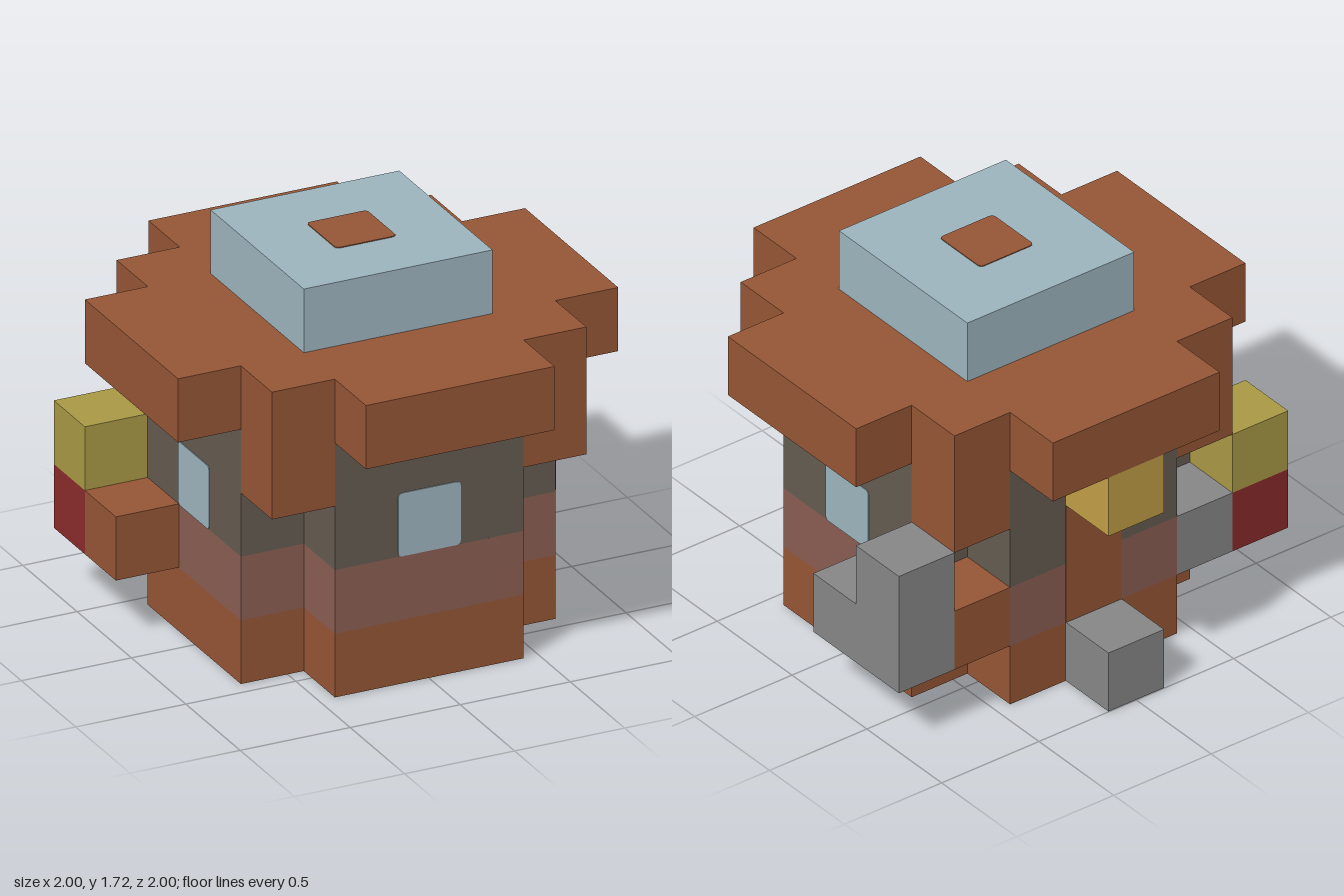
import * as THREE from 'three';

const U = 2 / 7; // size of one block

const material = (name, color) => {
  const m = new THREE.MeshStandardMaterial({ color });
  m.name = name;
  return m;
};

export function createModel() {
  const group = new THREE.Group();
  const brown = material('brown', 0x955535);
  const paleBlue = material('pale blue', 0x9db4be);
  const darkGrey = material('dark grey', 0x645b50);
  const mauve = material('mauve', 0x8a5d52);
  const grey = material('grey', 0x868686);
  const olive = material('olive', 0xa89845);
  const gold = material('gold', 0xc09d45);
  const red = material('red', 0x8a2a2a);

  const add = (name, geometry, mat) => {
    const mesh = new THREE.Mesh(geometry, mat);
    mesh.name = name;
    group.add(mesh);
    return mesh;
  };

  // Box centred on block cell (x, z), resting on layer y
  const block = (name, x, y, z, mat, w = 1, h = 1, d = 1) =>
    add(name, new THREE.BoxGeometry(w * U, h * U, d * U), mat)
      .position.set(x * U, (y + h / 2) * U, z * U);

  // Stepped slab: a quarter outline turned four times and extruded upwards
  const slab = (name, quarter, y, h, mat) => {
    const points = [];
    for (let i = 0; i < 4; i++) {
      for (const [x, z] of quarter) {
        const p = new THREE.Vector2(x * U, z * U);
        for (let k = 0; k < i; k++) p.set(-p.y, p.x);
        points.push(p);
      }
    }
    const geometry = new THREE.ExtrudeGeometry(new THREE.Shape(points), { depth: h * U, bevelEnabled: false });
    geometry.rotateX(-Math.PI / 2);
    add(name, geometry, mat).position.y = y * U;
  };

  // Thin square plate with softened corners, facing +z
  const panel = (name, size, mat) => {
    const s = size / 2, r = 0.02;
    const shape = new THREE.Shape();
    shape.moveTo(-s + r, -s);
    shape.lineTo(s - r, -s);
    shape.quadraticCurveTo(s, -s, s, -s + r);
    shape.lineTo(s, s - r);
    shape.quadraticCurveTo(s, s, s - r, s);
    shape.lineTo(-s + r, s);
    shape.quadraticCurveTo(-s, s, -s, s - r);
    shape.lineTo(-s, -s + r);
    shape.quadraticCurveTo(-s, -s, -s + r, -s);
    const geometry = new THREE.ExtrudeGeometry(shape, { depth: 0.004, bevelEnabled: false, curveSegments: 3 });
    return add(name, geometry, mat);
  };

  // Body layers
  const bodyStep = [[2.5, 1.5], [1.5, 1.5], [1.5, 2.5]];
  slab('base', bodyStep, 0, 1, brown);
  slab('lowerWall', bodyStep, 1, 1, mauve);
  slab('upperWall', bodyStep, 2, 2, darkGrey);

  // Roof and skylight block
  slab('roof', [[3.5, 1.5], [2.5, 1.5], [2.5, 2.5], [1.5, 2.5], [1.5, 3.5]], 4, 1, brown);
  block('roofTop', 0, 5, 0, paleBlue, 3, 1, 3);
  for (const x of [-2, 2]) {
    for (const z of [-2, 2]) block('eaveCorner', x, 3, z, brown);
  }

  // Windows on the front and both sides
  for (const turn of [-1, 0, 1]) {
    const angle = turn * Math.PI / 2;
    const pane = panel('window', 0.284, paleBlue);
    pane.rotation.y = angle;
    pane.position.set(Math.sin(angle) * 2.5 * U, 2.5 * U, Math.cos(angle) * 2.5 * U);
  }

  // Hatches on the top and underside
  const top = panel('topHatch', 0.275, brown);
  top.rotation.x = -Math.PI / 2;
  top.position.y = 6 * U;
  const bottom = panel('bottomHatch', 0.275, grey);
  bottom.rotation.x = Math.PI / 2;
  bottom.position.y = 0.002;

  // Back door with its step and lamp
  block('door', 0, 1, -2.5, brown, 1, 2, 0.02);
  block('doorStep', 0, 0, -3, grey);
  block('doorLamp', 0, 3, -3, gold);

  // Stepped chimney on the left
  block('chimneyFoot', 3, 1, -1, grey);
  block('chimney', 3, 1, -2, grey, 1, 2, 1);
  block('chimneyBrace', 2, 1, -2, brown);

  // Side blocks on the right
  block('sideLedge', -3, 1, -1, brown);
  block('sideBrace', -2, 1, -2, grey);
  block('sideRedBlock', -3, 1, -2, red);
  block('sideOliveBlock', -3, 2, -2, olive);

  return group;
}
